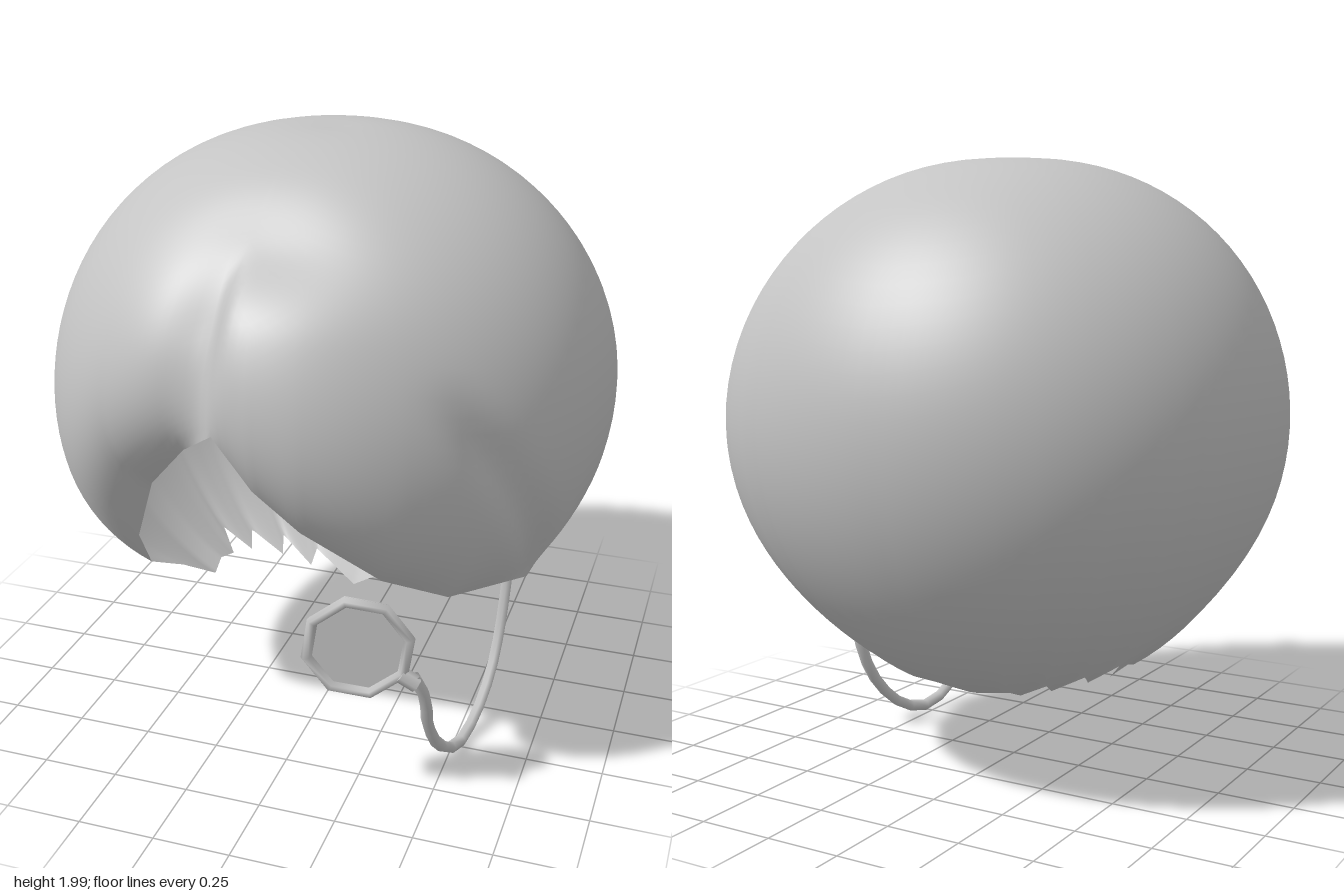
import * as THREE from 'three';

const CY = 1.12; // height of the centre of the hair shell
const step = THREE.MathUtils.smoothstep;
const gauss = (v, w) => Math.exp(-((v / w) ** 2));

// Shell radius for azimuth a (degrees, 0 = front, 90 = +x) and polar angle p
function shellRadius(a, p) {
  let r = 0.88 + 0.035 * Math.sin(2 * p) + 0.01 * Math.sin(p) ** 2;
  // fuller hair at the left of the back and low on the right lock
  r += 0.05 * gauss(a - 126, 30) * gauss(p - 1.7, 0.7);
  r += 0.025 * gauss(a + 50, 25) * gauss(p - 1.9, 0.5);
  // flatter left temple
  r -= 0.015 * gauss(a - 48, 20) * gauss(p - 1.4, 0.5);
  // dip above the parting
  r -= 0.04 * gauss(a, 22) * gauss(p - 0.72, 0.2);
  // parting: the left lock swells over the groove of the right lock
  const s = step(a, -9, -2);
  r += step(p, 0.72, 1.05) * (s * 0.035 * gauss(a - 5, 22) - (1 - s) * 0.05 * gauss(a + 8, 9));
  // crease behind the left lock
  r -= 0.035 * step(p, 1.15, 1.5) * gauss(a - 40 - (p - 1.22) * 40, 5);
  return r;
}

// Hem points, going round from the front parting over +x to the back and home
function hemPoints() {
  const onShell = (deg, y) => {
    const ring = Math.sqrt(0.87 ** 2 - (CY - y) ** 2), a = THREE.MathUtils.degToRad(deg);
    return [ring * Math.sin(a), y, ring * Math.cos(a)];
  };
  // ragged ends of the back hair: azimuth, height
  const teeth = [[108, 0.38], [113, 0.44], [118, 0.37], [124, 0.41], [132, 0.34],
    [137, 0.38], [146, 0.31], [152, 0.34]];
  const leftBack = teeth.map(([a, y]) => onShell(a, y));
  const rightBack = teeth.map(([a, y]) => onShell(360 - a, y)).reverse();
  return [
    [-0.08, 1.3, 0.84], [0.03, 1.14, 0.82], [0.15, 1.0, 0.76], [0.35, 0.8, 0.61],
    [0.52, 0.7, 0.47], [0.7, 0.64, 0.16],
    [0.71, 0.66, 0.1], [0.7, 0.6, -0.05], [0.68, 0.62, -0.14],
    ...leftBack, onShell(180, 0.28), ...rightBack,
    [-0.45, 0.4, -0.06], [-0.44, 0.38, 0.02], [-0.48, 0.5, 0.2], [-0.51, 0.6, 0.38],
    [-0.5, 0.75, 0.48], [-0.39, 1.0, 0.59], [-0.22, 1.19, 0.72],
  ].map((p) => new THREE.Vector3(...p));
}

function hairGeometry(rows = 40) {
  const hem = hemPoints();
  const azimuth = (v) => THREE.MathUtils.radToDeg(Math.atan2(v.x, v.z));
  // resample the hem so there is a column about every two degrees
  const ends = [];
  hem.forEach((p, i) => {
    const q = hem[(i + 1) % hem.length];
    const span = (azimuth(q) - azimuth(p) + 720) % 360;
    const n = Math.max(1, Math.ceil(span / 2));
    for (let k = 0; k < n; k++) ends.push(p.clone().lerp(q, k / n));
  });
  const pos = [], index = [], cols = ends.length;
  for (const e of ends) {
    const a = azimuth(e), ar = THREE.MathUtils.degToRad(a);
    const ring = Math.hypot(e.x, e.z), hemR = Math.hypot(ring, e.y - CY);
    const last = Math.atan2(ring, e.y - CY);
    for (let j = 0; j <= rows; j++) {
      const t = j / rows, p = t * last;
      // the surface tucks in towards the hem
      const r = THREE.MathUtils.lerp(shellRadius(a, p), hemR, t ** 9);
      pos.push(r * Math.sin(p) * Math.sin(ar), CY + r * Math.cos(p), r * Math.sin(p) * Math.cos(ar));
    }
  }
  for (let i = 0; i < cols; i++) {
    for (let j = 0; j < rows; j++) {
      const a = i * (rows + 1) + j, b = ((i + 1) % cols) * (rows + 1) + j;
      index.push(a + 1, b + 1, b);
      if (j > 0) index.push(a, a + 1, b);
    }
  }
  const g = new THREE.BufferGeometry();
  g.setAttribute('position', new THREE.Float32BufferAttribute(pos, 3));
  g.setIndex(index);
  g.computeVertexNormals();
  for (let i = 0; i < cols; i++) g.attributes.normal.setXYZ(i * (rows + 1), 0, 1, 0);
  return g;
}

export function createModel() {
  const model = new THREE.Group();
  const grey = new THREE.MeshStandardMaterial({ color: 0xc4c4c4, side: THREE.DoubleSide });
  grey.name = 'grey';
  const add = (parent, name, geometry) => {
    const m = new THREE.Mesh(geometry, grey);
    m.name = name;
    parent.add(m);
    return m;
  };

  add(model, 'hair', hairGeometry());

  // Eyeglass: octagonal rim in front of a flat lens
  const eyeglass = new THREE.Group();
  eyeglass.name = 'eyeglass';
  eyeglass.position.set(0.29, 0.582, 0.65);
  eyeglass.rotation.y = 0.22;
  model.add(eyeglass);
  const turn = Math.PI / 8 - 0.15;
  add(eyeglass, 'rim', new THREE.TorusGeometry(0.16, 0.018, 6, 8)).rotation.z = turn;
  add(eyeglass, 'lens', new THREE.CylinderGeometry(0.172, 0.172, 0.008, 8)
    .rotateY(Math.PI / 2).rotateX(Math.PI / 2).rotateZ(turn)).position.z = -0.012;
  const link = add(eyeglass, 'link', new THREE.CylinderGeometry(0.026, 0.026, 0.06, 6));
  link.position.set(0.155, -0.1, 0);
  link.rotation.z = 1;

  // Cord hanging from the link up to the hair
  const path = new THREE.CatmullRomCurve3([
    [0.455, 0.49, 0.61], [0.482, 0.41, 0.58], [0.476, 0.25, 0.5], [0.49, 0.11, 0.4],
    [0.52, 0.03, 0.27], [0.545, 0.055, 0.14], [0.567, 0.15, 0.02], [0.577, 0.27, -0.06],
    [0.585, 0.45, -0.11], [0.592, 0.64, -0.13],
  ].map((p) => new THREE.Vector3(...p)));
  add(model, 'cord', new THREE.TubeGeometry(path, 18, 0.02, 6));

  return model;
}
